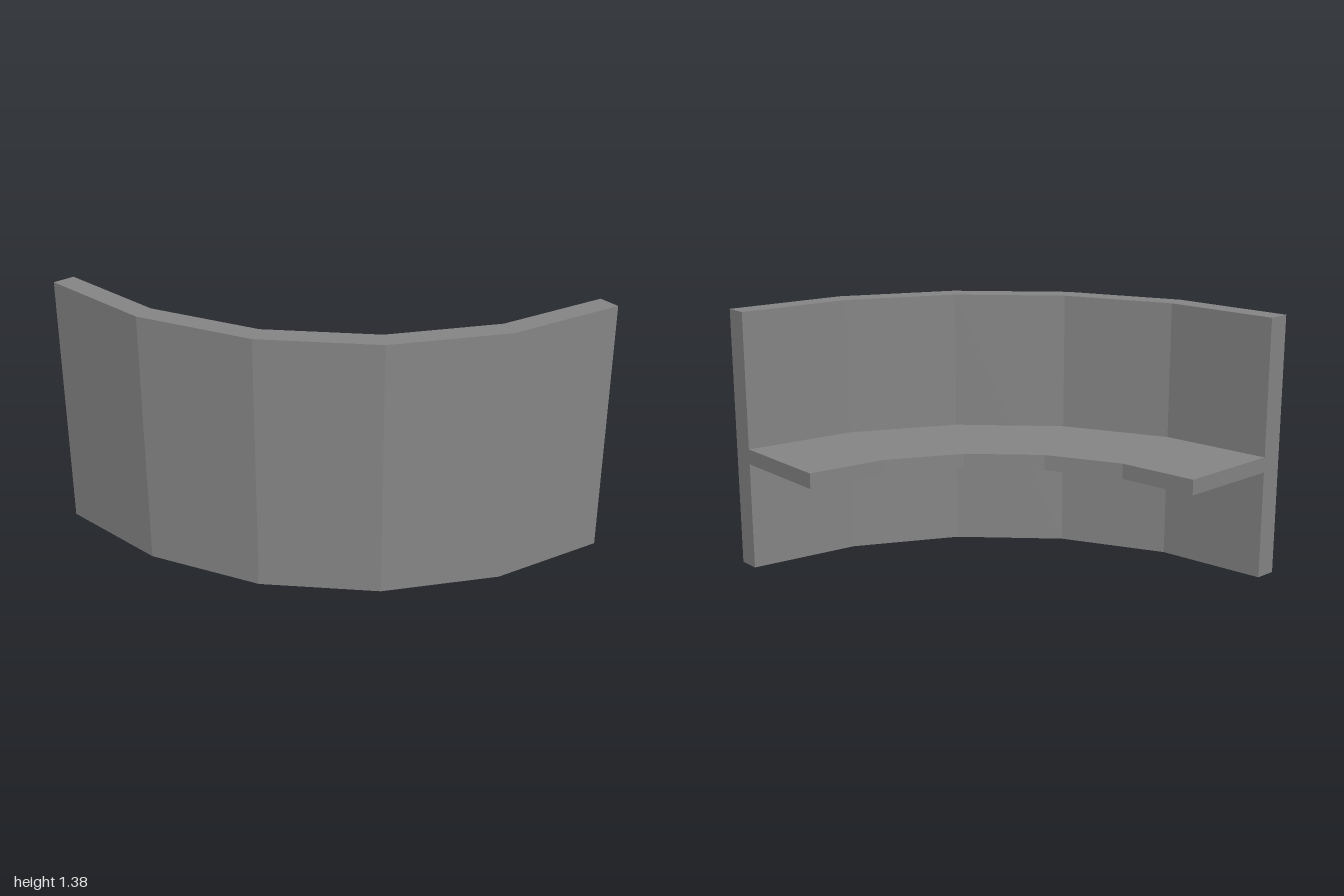
import * as THREE from 'three';

const SEGMENTS = 5; // flat facets over the quarter turn
const CORNER = -1; // arc centre, in x and z

// Quarter ring with straight facets, standing between two heights
function quarterRing(name, inner, outer, bottom, top, material) {
  const arc = (radius) => Array.from({ length: SEGMENTS + 1 }, (_, i) => {
    const a = (i / SEGMENTS) * Math.PI / 2;
    return new THREE.Vector2(CORNER + radius * Math.cos(a), CORNER + radius * Math.sin(a));
  });
  const shape = new THREE.Shape([...arc(outer), ...arc(inner).reverse()]);
  const geometry = new THREE.ExtrudeGeometry(shape, { depth: top - bottom, bevelEnabled: false });
  geometry.rotateX(Math.PI / 2).translate(0, top, 0);
  const mesh = new THREE.Mesh(geometry, material);
  mesh.name = name;
  return mesh;
}

export function createModel() {
  const material = new THREE.MeshStandardMaterial({ color: 0x868686, flatShading: true });
  const group = new THREE.Group();
  group.name = 'curvedCounter';
  // Upright outer panel
  group.add(quarterRing('frontPanel', 1.886, 2, 0, 1.385, material));
  // Worktop on the inner side, meeting the panel
  group.add(quarterRing('shelf', 1.333, 1.886, 0.577, 0.658, material));
  return group;
}
